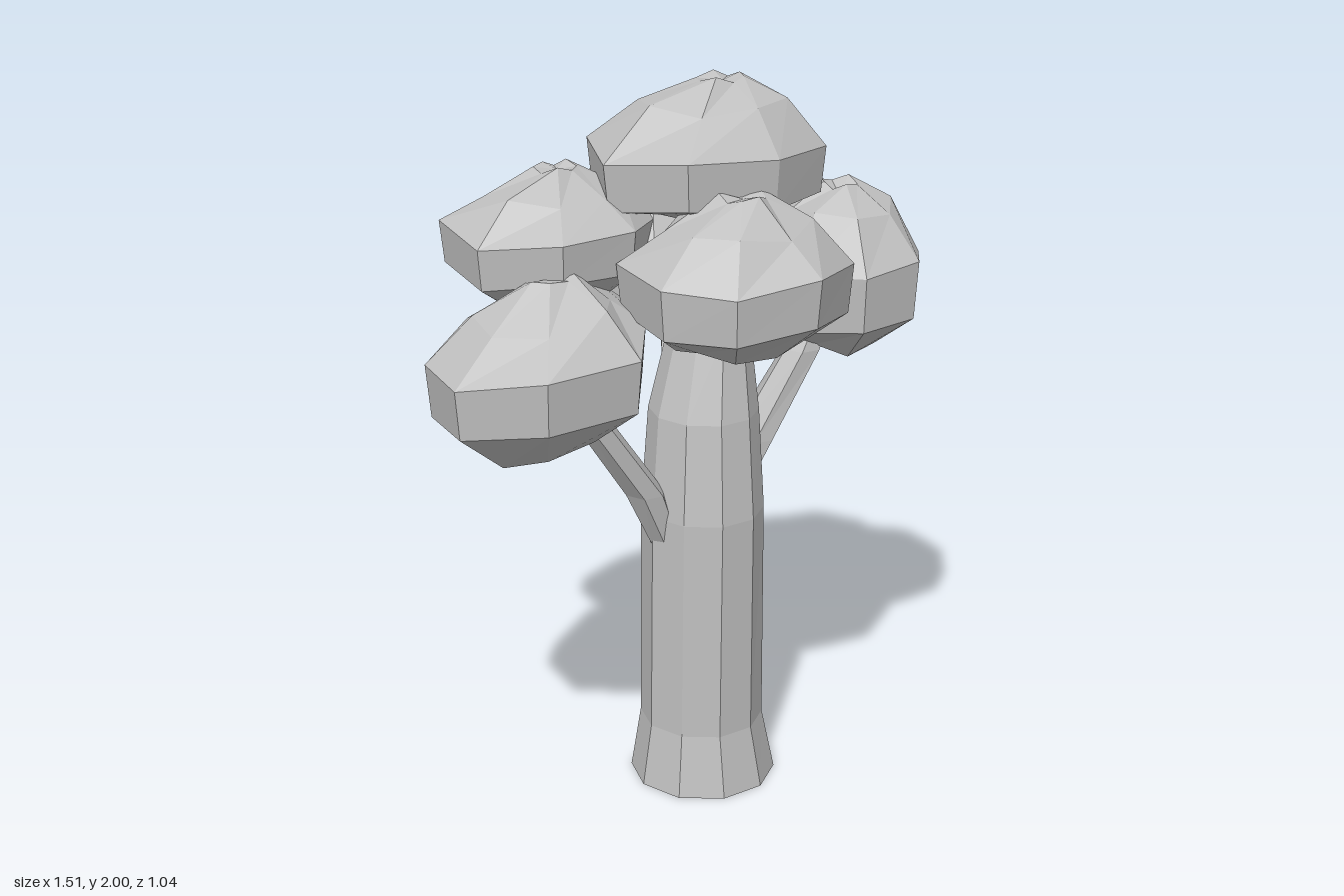
import * as THREE from 'three';

const grey = new THREE.MeshStandardMaterial({ color: 0xc0c0c0 });
grey.name = 'plain grey';

// Faceted skin through closed rings of points, with a pole at each end.
function loft(name, rings, bottom, top) {
  const pos = [];
  const tri = (...pts) => pts.forEach((p) => pos.push(p.x, p.y, p.z));
  const n = rings[0].length;
  for (let i = 0; i < n; i++) {
    const j = (i + 1) % n;
    tri(bottom, rings[0][i], rings[0][j]);
    for (let r = 0; r < rings.length - 1; r++) {
      const lo = rings[r], hi = rings[r + 1];
      tri(lo[i], hi[i], lo[j]);
      tri(lo[j], hi[i], hi[j]);
    }
    const last = rings[rings.length - 1];
    tri(top, last[j], last[i]);
  }
  const geo = new THREE.BufferGeometry();
  geo.setAttribute('position', new THREE.Float32BufferAttribute(pos, 3));
  geo.computeVertexNormals();
  const mesh = new THREE.Mesh(geo, grey);
  mesh.name = name;
  return mesh;
}

// Horizontal rings: [y, centre x, centre z, radius x, radius z]
function column(name, sections, sides) {
  const rings = sections.map(([y, x, z, rx, rz]) =>
    Array.from({ length: sides }, (_, i) => {
      const a = ((i + 0.25) / sides) * Math.PI * 2;
      return new THREE.Vector3(x + rx * Math.cos(a), y, z + rz * Math.sin(a));
    }));
  const pole = ([y, x, z]) => new THREE.Vector3(x, y, z);
  return loft(name, rings, pole(sections[0]), pole(sections[sections.length - 1]));
}

// Leaf clump: plan outline, rim heights, domed top around a peak, tapered underside.
// tilt raises the rim towards +x; dip is the depth of the hollow at the peak.
function clump({ name, outline, base, rimLow, rimHigh, top, peak, shoulder, tilt = 0, dip = 0.02 }, seed) {
  const cx = outline.reduce((s, p) => s + p[0], 0) / outline.length;
  const cz = outline.reduce((s, p) => s + p[1], 0) / outline.length;
  const ring = (scale, y, wobble, tx, tz) => outline.map(([x, z], i) =>
    new THREE.Vector3(
      tx + (x - tx) * scale,
      y + tilt * scale * (x - cx) + wobble * Math.sin(i * 2.4 + seed * 1.7 + scale * 9),
      tz + (z - tz) * scale));
  const rise = top - rimHigh;
  const [px, pz] = peak;
  return loft(name, [
    ring(0.5, base + 0.02, 0.015, cx, cz),
    ring(0.96, rimLow, 0.015, cx, cz),
    ring(1, rimHigh, 0.015, cx, cz),
    ring(0.62, rimHigh + rise * shoulder, 0.012, px, pz),
    ring(0.2, top - 0.01, 0.01, px, pz),
  ], new THREE.Vector3(cx, base, cz), new THREE.Vector3(px, top - dip, pz));
}

// Outlines run left, back, right, front as [x, z].
const CLUMPS = [
  { name: 'crownClump', base: 1.63, rimLow: 1.69, rimHigh: 1.82, top: 2.0, peak: [0.18, 0.01], shoulder: 0.62,
    outline: [[-0.2, -0.04], [-0.08, -0.24], [0.23, -0.22], [0.41, -0.13], [0.455, 0.05], [0.36, 0.22], [0.13, 0.27], [-0.11, 0.18]] },
  { name: 'frontClump', base: 1.32, rimLow: 1.43, rimHigh: 1.56, top: 1.75, peak: [0.03, 0.24], shoulder: 0.55,
    outline: [[-0.29, 0.27], [-0.24, 0.05], [-0.02, -0.06], [0.22, -0.02], [0.35, 0.2], [0.26, 0.42], [0.03, 0.52], [-0.19, 0.44]] },
  { name: 'leftClump', base: 1.2, rimLow: 1.31, rimHigh: 1.47, top: 1.68, peak: [0.51, 0.14], shoulder: 0.66, dip: 0.05,
    outline: [[0.29, 0.03], [0.44, -0.14], [0.62, -0.13], [0.755, 0.06], [0.72, 0.25], [0.57, 0.38], [0.38, 0.36], [0.28, 0.2]] },
  { name: 'rightClump', base: 1.11, rimLow: 1.25, rimHigh: 1.39, top: 1.57, peak: [-0.4, -0.02], shoulder: 0.5, tilt: 0.13,
    outline: [[-0.76, 0.03], [-0.69, -0.18], [-0.47, -0.28], [-0.24, -0.22], [-0.13, -0.04], [-0.21, 0.13], [-0.35, 0.265], [-0.62, 0.22]] },
  { name: 'backRightClump', base: 1.4, rimLow: 1.53, rimHigh: 1.64, top: 1.79, peak: [-0.22, -0.2], shoulder: 0.52,
    outline: [[-0.54, -0.14], [-0.49, -0.36], [-0.28, -0.41], [-0.1, -0.4], [0.0, -0.27], [0.0, -0.06], [-0.18, 0.06], [-0.4, 0.03]] },
  { name: 'backLeftClump', base: 1.28, rimLow: 1.41, rimHigh: 1.57, top: 1.79, peak: [0.16, -0.24], shoulder: 0.52,
    outline: [[-0.16, -0.22], [-0.14, -0.42], [0.11, -0.525], [0.34, -0.43], [0.47, -0.22], [0.44, 0.0], [0.2, 0.07], [-0.06, 0.0]] },
];

export function createModel() {
  const tree = new THREE.Group();
  tree.name = 'tree';

  // Trunk with a flared foot, leaning slightly as it narrows
  tree.add(column('trunk', [
    [0, 0.067, 0.065, 0.206, 0.206],
    [0.18, 0.062, 0.063, 0.172, 0.175],
    [0.82, 0.062, 0.063, 0.165, 0.175],
    [1.1, 0.074, 0.053, 0.148, 0.155],
    [1.33, 0.102, 0.045, 0.105, 0.115],
    [1.65, 0.12, 0.02, 0.08, 0.08],
  ], 10));

  // Branches reaching into the side and back clumps
  tree.add(column('leftBranch', [
    [0.87, 0.18, 0.06, 0.05, 0.065],
    [0.98, 0.24, 0.075, 0.055, 0.07],
    [1.22, 0.385, 0.125, 0.055, 0.055],
    [1.4, 0.48, 0.14, 0.03, 0.03],
  ], 6));
  tree.add(column('rightBranch', [
    [0.74, -0.06, 0.04, 0.04, 0.05],
    [0.9, -0.125, 0.03, 0.055, 0.06],
    [1.17, -0.31, 0.0, 0.05, 0.05],
    [1.35, -0.42, -0.02, 0.03, 0.03],
  ], 6));
  tree.add(column('backBranch', [
    [0.9, 0.11, -0.06, 0.045, 0.04],
    [1.03, 0.14, -0.11, 0.055, 0.05],
    [1.28, 0.23, -0.235, 0.035, 0.045],
    [1.42, 0.25, -0.28, 0.025, 0.025],
  ], 6));

  // Foliage
  const foliage = new THREE.Group();
  foliage.name = 'foliage';
  CLUMPS.forEach((c, i) => foliage.add(clump(c, i + 1)));
  tree.add(foliage);
  return tree;
}
